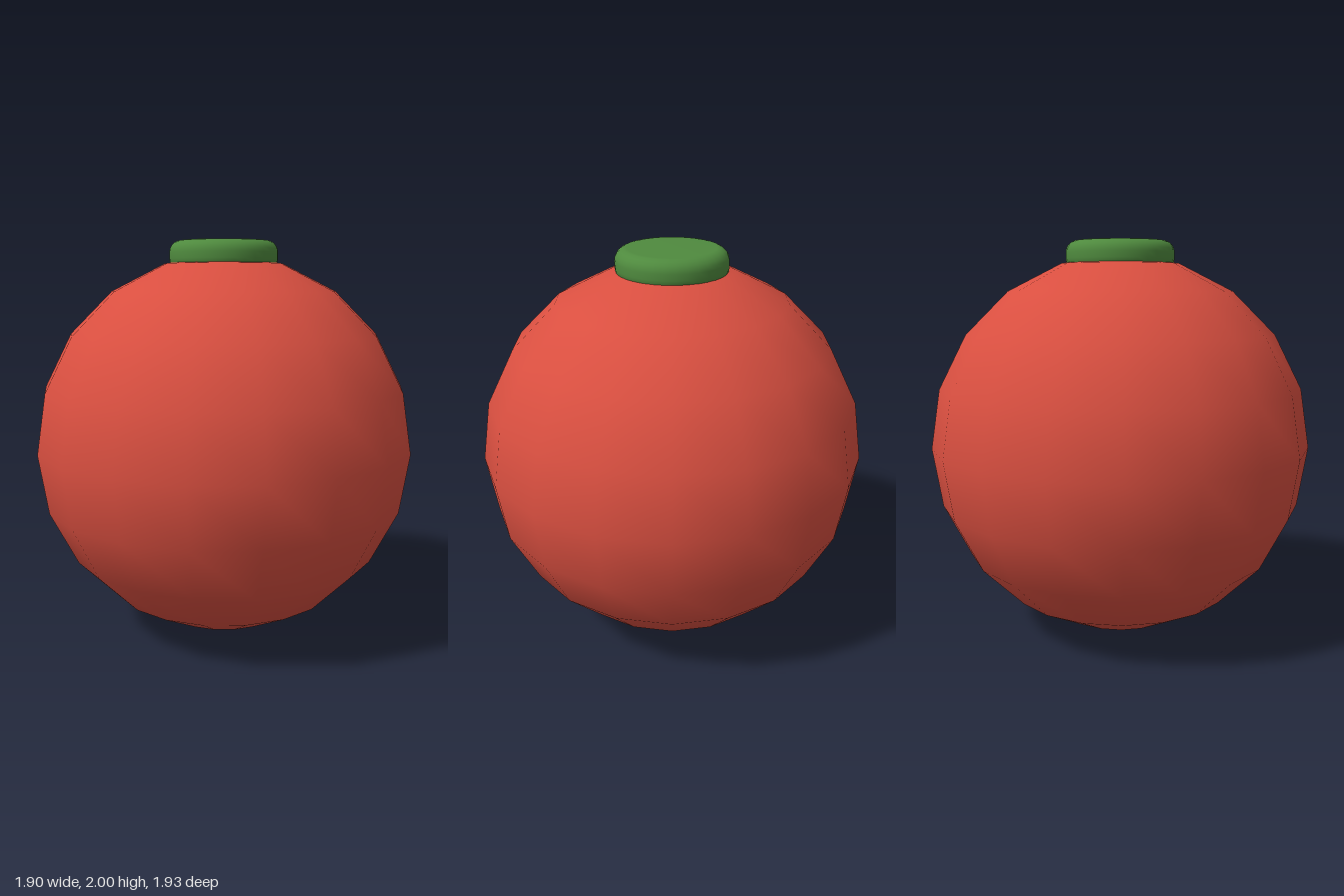
import * as THREE from 'three';

export function createModel() {
  const group = new THREE.Group();
  const red = new THREE.MeshStandardMaterial({ color: 0xd94f40 });
  const green = new THREE.MeshStandardMaterial({ color: 0x4f8a3e });

  // Round fruit body, turned so that a ridge faces the front
  const body = new THREE.Mesh(new THREE.SphereGeometry(0.966, 18, 10), red);
  body.name = 'body';
  body.rotation.y = Math.PI / 2;
  body.position.y = 0.967;
  group.add(body);

  // Flat disc with rounded rims, sunk into the top of the body
  const radius = 0.274, bevel = 0.06, bottom = 1.85, top = 2;
  const profile = [new THREE.Vector2(0, bottom)];
  for (const [y, start] of [[bottom + bevel, -Math.PI / 2], [top - bevel, 0]]) {
    for (let i = 0; i <= 5; i++) {
      const a = start + (i / 5) * Math.PI / 2;
      profile.push(new THREE.Vector2(radius - bevel + bevel * Math.cos(a), y + bevel * Math.sin(a)));
    }
  }
  profile.push(new THREE.Vector2(0, top));
  const cap = new THREE.Mesh(new THREE.LatheGeometry(profile, 32), green);
  cap.name = 'stemCap';
  group.add(cap);

  return group;
}
